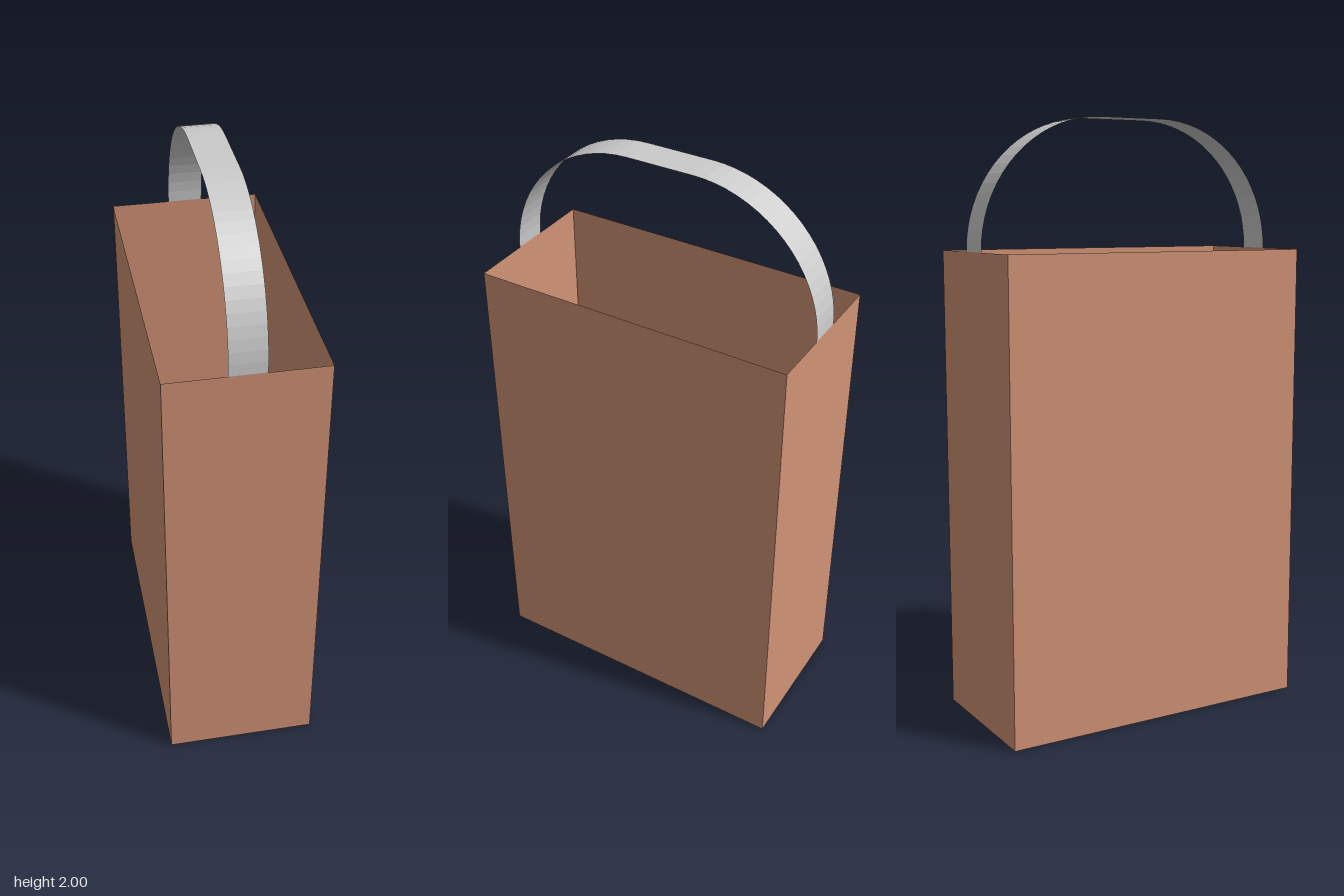
import * as THREE from 'three';

const WIDTH = 0.504, HEIGHT = 1.57, DEPTH = 1.086;
const STRAP_WIDTH = 0.117, RISE = 2 - HEIGHT;

// Thin-walled box without its top face
function openBox(w, h, d) {
  const geometry = new THREE.BoxGeometry(w, h, d);
  const index = Array.from(geometry.index.array);
  index.splice(12, 6); // the +y face
  geometry.setIndex(index);
  geometry.clearGroups();
  return geometry.translate(0, h / 2, 0);
}

// Flat ribbon arching from the front rim to the back rim
function strap(width, segments) {
  const half = DEPTH / 2, flat = half - RISE;
  const path = [];
  for (const side of [1, -1]) {
    for (let i = 0; i <= segments; i++) {
      const t = i / segments;
      const a = (side > 0 ? t : 1 - t) * Math.PI / 2;
      path.push([HEIGHT + RISE * Math.sin(a), side * (flat + RISE * Math.cos(a))]);
    }
  }
  const geometry = new THREE.PlaneGeometry(width, 1, 1, path.length - 1);
  const position = geometry.attributes.position;
  path.forEach(([y, z], i) => {
    // rows run from the back rim to the front rim so that the outside faces out
    const row = path.length - 1 - i;
    for (const k of [0, 1]) {
      position.setXYZ(row * 2 + k, (k - 0.5) * width, y, z);
    }
  });
  geometry.computeVertexNormals();
  return geometry;
}

export function createModel() {
  const model = new THREE.Group();
  model.name = 'bag';

  // Open bag with four walls and a floor
  const body = new THREE.Mesh(
    openBox(WIDTH, HEIGHT, DEPTH),
    new THREE.MeshStandardMaterial({ color: 0xd29376, side: THREE.DoubleSide })
  );
  body.name = 'bagBody';

  // Carrying strap over the opening
  const handle = new THREE.Mesh(
    strap(STRAP_WIDTH, 18),
    new THREE.MeshStandardMaterial({ color: 0xcccccc, side: THREE.DoubleSide, flatShading: true })
  );
  handle.name = 'handle';

  model.add(body, handle);
  return model;
}
